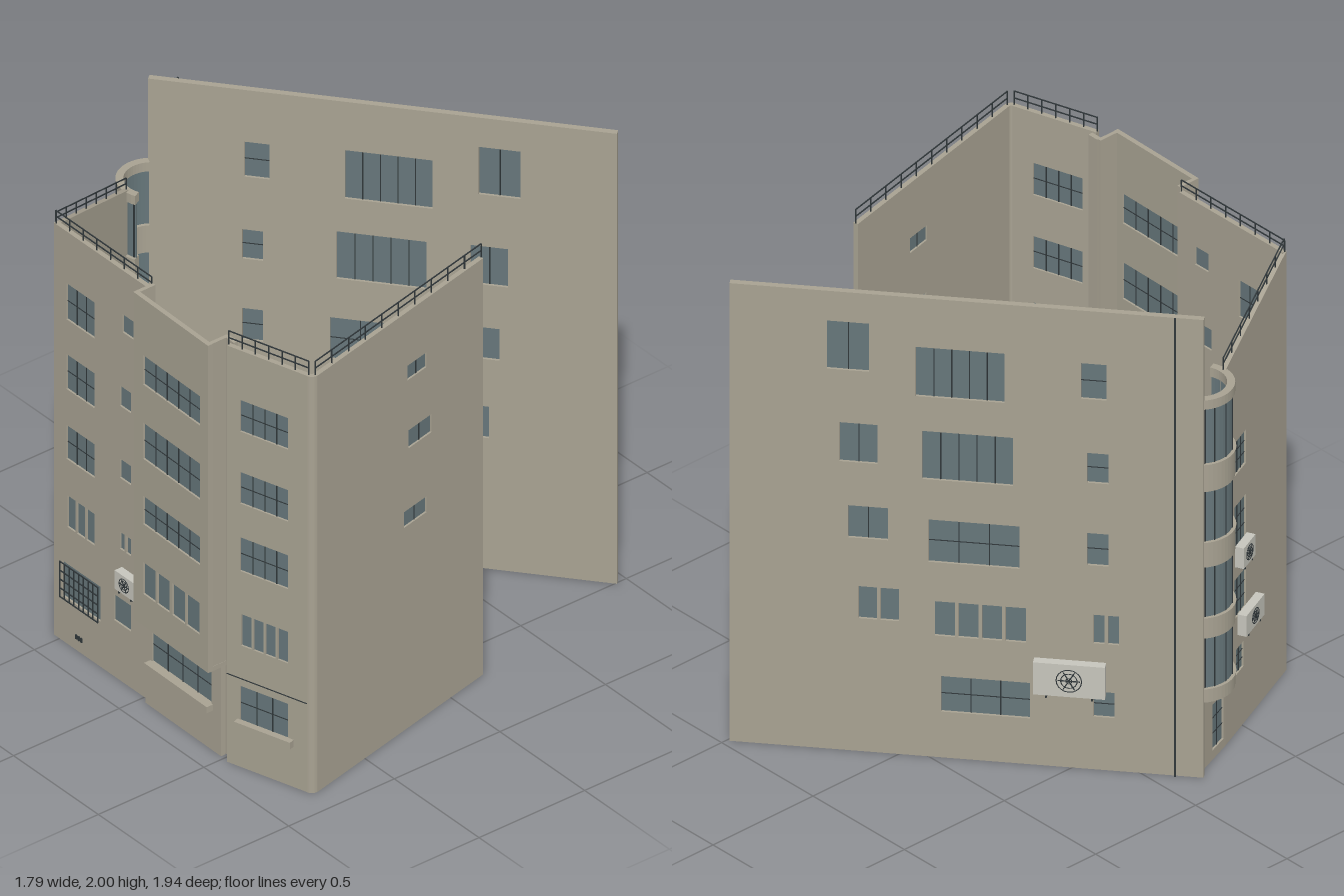
import * as THREE from 'three';

const mat = (name, color, side = THREE.FrontSide) => {
  const m = new THREE.MeshStandardMaterial({ color, side });
  m.name = name;
  return m;
};

export function createModel() {
  const plaster = mat('plaster', 0xa8a292);
  const glass = mat('window glass', 0x66767a);
  const dark = mat('dark metal', 0x30373a);
  const casing = mat('unit casing', 0xc6c5bc);
  const building = new THREE.Group();
  building.name = 'building';

  const add = (parent, name, geometry, material) => {
    const mesh = new THREE.Mesh(geometry, material);
    mesh.name = name;
    parent.add(mesh);
    return mesh;
  };
  const box = (parent, name, material, w, h, d, x, y, z) => {
    const mesh = add(parent, name, new THREE.BoxGeometry(w, h, d), material);
    mesh.position.set(x, y, z);
    return mesh;
  };

  // Upright slab from a plan outline of [x, z] points
  const slab = (name, pts, y0, y1, material = plaster) => {
    const shape = new THREE.Shape(pts.map(([x, z]) => new THREE.Vector2(x, -z)));
    const geo = new THREE.ExtrudeGeometry(shape, { depth: y1 - y0, bevelEnabled: false });
    geo.rotateX(-Math.PI / 2).translate(0, y0, 0);
    return add(building, name, geo, material);
  };
  const arc = (cx, cz, r, d0, d1, n) => Array.from({ length: n + 1 }, (_, i) => {
    const a = THREE.MathUtils.degToRad(d0 + (d1 - d0) * i / n);
    return [cx + r * Math.cos(a), cz + r * Math.sin(a)];
  });
  const ring = (cx, cz, r0, r1, d0, d1, n) =>
    [...arc(cx, cz, r1, d0, d1, n), ...arc(cx, cz, r0, d1, d0, n)];

  // Wall along a -> b (outer face, plan points) with glazed openings.
  // Openings are [from, to, bottom, top, columns, rows] on world axis "axis".
  const wall = (name, a, b, axis, y0, h0, h1, thick, openings) => {
    const g = new THREE.Group();
    g.name = name;
    g.position.set(a[0], 0, a[1]);
    const dx = b[0] - a[0], dz = b[1] - a[1], length = Math.hypot(dx, dz);
    g.rotation.y = Math.atan2(-dz, dx);
    building.add(g);
    const k = axis === 'x' ? 0 : 1;
    const at = v => (v - a[k]) / (b[k] - a[k]) * length;
    const shape = new THREE.Shape([[0, y0], [length, y0], [length, h1], [0, h0]]
      .map(p => new THREE.Vector2(...p)));
    for (const [p, q, lo, hi, cols = 1, rows = 1] of openings) {
      const u0 = Math.min(at(p), at(q)), u1 = Math.max(at(p), at(q));
      const w = u1 - u0, h = hi - lo, x = (u0 + u1) / 2, y = (lo + hi) / 2;
      shape.holes.push(new THREE.Path([[u0, lo], [u0, hi], [u1, hi], [u1, lo]]
        .map(c => new THREE.Vector2(...c))));
      box(g, 'windowGlass', glass, w, h, 0.004, x, y, -thick / 2);
      for (let i = 1; i < cols; i++)
        box(g, 'mullion', dark, 0.004, h, 0.01, u0 + w * i / cols, y, -thick / 2);
      for (let i = 1; i < rows; i++)
        box(g, 'transom', dark, w, 0.003, 0.009, x, lo + h * i / rows, -thick / 2);
    }
    const geo = new THREE.ExtrudeGeometry(shape, { depth: thick, bevelEnabled: false });
    add(g, name + 'Panel', geo.translate(0, 0, -thick), plaster);
    return { g, at, length, h0, h1 };
  };

  // Roof railing that follows the top of a wall
  const railing = ({ g, length, h0, h1 }, posts, height) => {
    for (let i = 0; i <= posts; i++) {
      const t = i / posts;
      box(g, 'railPost', dark, 0.004, height, 0.004, t * length, h0 + (h1 - h0) * t + height / 2, -0.01);
    }
    for (const f of [0.5, 1]) {
      const bar = box(g, 'railBar', dark, Math.hypot(length, h1 - h0), 0.004, 0.004,
        length / 2, (h0 + h1) / 2 + height * f, -0.01);
      bar.rotation.z = Math.atan2(h1 - h0, length);
    }
  };

  // Air conditioning unit with fan and brackets
  const cooler = ({ g, at }, p, q, lo, hi, depth = 0.035) => {
    const x = (at(p) + at(q)) / 2, w = Math.abs(at(q) - at(p)), h = hi - lo, y = (lo + hi) / 2;
    box(g, 'coolingUnit', casing, w, h, depth, x, y, depth / 2 + 0.002);
    for (const r of [0.34, 0.22, 0.08])
      add(g, 'fanRing', new THREE.TorusGeometry(h * r, 0.002, 4, 20), dark)
        .position.set(x, y, depth + 0.003);
    for (let i = 0; i < 3; i++)
      box(g, 'fanBlade', dark, h * 0.6, 0.004, 0.003, x, y, depth + 0.003).rotation.z = i * Math.PI / 3;
    for (const s of [-1, 1])
      box(g, 'unitBracket', dark, 0.006, 0.012, depth, x + s * w * 0.32, lo - 0.006, depth / 2);
  };
  const sill = ({ g, at }, p, q, lo, hi, depth) =>
    box(g, 'windowSill', plaster, Math.abs(at(q) - at(p)), hi - lo, depth,
      (at(p) + at(q)) / 2, (lo + hi) / 2, depth / 2);
  // Row of narrow panes with solid piers between
  const panes = (p, q, lo, hi, n, gap = 0.008) => Array.from({ length: n }, (_, i) => {
    const w = (q - p + gap) / n;
    return [p + w * i, p + w * (i + 1) - gap, lo, hi];
  });

  // Tall rear wall
  const rear = wall('rearWall', [0.49, -0.97], [-0.88, 0.15], 'z', 0, 2, 2, 0.025, [
    [-0.74, -0.64, 1.66, 1.87, 2], [-0.71, -0.62, 1.26, 1.43, 2],
    [-0.69, -0.595, 0.93, 1.07, 2], ...panes(-0.665, -0.57, 0.58, 0.72, 2),
    [-0.53, -0.32, 1.57, 1.785, 5], [-0.515, -0.30, 1.21, 1.42, 5],
    [-0.50, -0.285, 0.85, 1.035, 3, 2], ...panes(-0.485, -0.27, 0.53, 0.68, 4),
    [-0.47, -0.26, 0.2, 0.355, 3, 2],
    [-0.14, -0.08, 1.615, 1.77, 1, 2], [-0.125, -0.075, 1.25, 1.38, 1, 2],
    [-0.125, -0.075, 0.89, 1.03, 1, 2], ...panes(-0.11, -0.05, 0.55, 0.675, 2),
    [-0.11, -0.06, 0.23, 0.34, 1, 2],
  ]);
  cooler(rear, -0.25, -0.08, 0.33, 0.47);
  box(rear.g, 'drainPipe', dark, 0.008, 2, 0.008, rear.length * 0.94, 1, 0.005);

  // Right wall
  const right = wall('rightWall', [0.89, 0.775], [0.665, -0.19], 'z', 0, 1.85, 1.85, 0.02, [
    [0.14, 0.25, 1.545, 1.61, 2], [0.11, 0.245, 1.24, 1.32, 2], [0.14, 0.27, 0.9, 0.97, 2],
  ]);
  railing(right, 10, 0.06);

  // Front right wall and rounded corner
  const frontRight = wall('frontRightWall', [0.525, 0.91], [0.868, 0.806], 'x', 0, 1.85, 1.85, 0.02, [
    [0.58, 0.785, 1.49, 1.63, 4, 2], [0.58, 0.785, 1.17, 1.31, 4, 2], [0.58, 0.785, 0.87, 1.02, 4, 2],
    ...panes(0.585, 0.785, 0.54, 0.68, 4), [0.58, 0.785, 0.205, 0.36, 3, 2],
  ]);
  railing(frontRight, 6, 0.06);
  sill(frontRight, 0.57, 0.81, 0.18, 0.21, 0.025);
  box(frontRight.g, 'cable', dark, frontRight.length, 0.003, 0.003, frontRight.length / 2, 0.395, 0.003);
  slab('roundedCorner', ring(0.86, 0.778, 0.01, 0.03, -10, 75, 8), 0, 1.85);
  slab('recessStrip', [[0.478, 0.86], [0.528, 0.86], [0.528, 0.88], [0.478, 0.88]], 0, 1.85);

  // Projecting front bay over the ground floor
  wall('bayWall', [0.03, 0.957], [0.483, 0.967], 'x', 0.4, 1.85, 1.85, 0.02, [
    [0.09, 0.435, 1.47, 1.6, 5, 2], [0.09, 0.435, 1.14, 1.3, 5, 2], [0.09, 0.435, 0.85, 0.975, 5, 2],
    ...panes(0.09, 0.25, 0.54, 0.68, 2), ...panes(0.265, 0.43, 0.54, 0.68, 2),
  ]);
  slab('bayFloor', [[0.03, 0.87], [0.483, 0.87], [0.483, 0.966], [0.03, 0.956]], 0.395, 0.415);
  for (const x of [0.03, 0.466])
    slab('baySide', [[x, 0.865], [x + 0.016, 0.865], [x + 0.016, 0.95], [x, 0.95]], 0.4, 1.85);
  const shop = wall('groundFrontWall', [0.03, 0.9], [0.483, 0.905], 'x', 0, 0.4, 0.4, 0.02, [
    [0.07, 0.425, 0.205, 0.355, 4, 2],
  ]);
  sill(shop, 0.06, 0.435, 0.178, 0.205, 0.03);

  // Front left wall
  const front = wall('frontWall', [-0.535, 0.88], [0.03, 0.88], 'x', 0, 1.83, 1.83, 0.02, [
    [-0.46, -0.295, 1.44, 1.6, 3, 2], [-0.46, -0.295, 1.13, 1.285, 3, 2], [-0.46, -0.295, 0.82, 0.97, 3, 2],
    ...panes(-0.455, -0.295, 0.52, 0.66, 3), [-0.485, -0.26, 0.2, 0.355],
    [-0.13, -0.055, 1.555, 1.635], [-0.145, -0.08, 1.22, 1.31], [-0.145, -0.08, 0.9, 0.985],
    ...panes(-0.145, -0.08, 0.585, 0.66, 2), [-0.18, -0.08, 0.25, 0.365],
  ]);
  railing(front, 7, 0.05);
  cooler(front, -0.13, -0.02, 0.43, 0.512);
  for (let i = 0; i <= 8; i++)
    box(front.g, 'grilleBar', dark, 0.004, 0.16, 0.004, front.at(-0.485 + i * 0.028), 0.278, 0.012);
  for (let i = 0; i <= 4; i++)
    box(front.g, 'grilleRail', dark, 0.228, 0.004, 0.004, front.at(-0.373), 0.2 + i * 0.039, 0.012);
  for (let i = 0; i < 3; i++)
    box(front.g, 'vent', dark, 0.008, 0.02, 0.004, front.at(-0.4 + i * 0.015), 0.06, 0.002);

  // Left wall with sloping top
  const left = wall('leftWall', [-0.77, 0.36], [-0.535, 0.88], 'x', 0, 1.64, 1.83, 0.02, [
    [-0.735, -0.692, 1.125, 1.27, 3, 3], [-0.735, -0.692, 0.8, 0.99, 3, 3],
    [-0.735, -0.692, 0.5, 0.67, 3, 3], [-0.73, -0.70, 0.25, 0.36, 2, 3],
  ]);
  railing(left, 7, 0.05);
  cooler(left, -0.735, -0.69, 0.73, 0.82);
  cooler(left, -0.725, -0.655, 0.42, 0.51);

  // Rounded corner bay: floors of plaster bands and curved glazing
  const cx = -0.76, cz = 0.235;
  for (const [lo, hi] of [[0.32, 0.38], [0.6, 0.69], [0.91, 1.02], [1.24, 1.36], [1.6, 1.64]])
    slab('turretBand', ring(cx, cz, 0.105, 0.135, 66, 214, 20), lo, hi);
  for (const [lo, hi] of [[0.38, 0.6], [0.69, 0.91], [1.02, 1.24], [1.36, 1.6]]) {
    slab('turretGlass', ring(cx, cz, 0.118, 0.126, 66, 214, 20), lo, hi, glass);
    for (const d of [70, 95, 120, 145, 170, 195, 212]) {
      const [x, z] = arc(cx, cz, 0.126, d, d, 1)[0];
      box(building, 'turretMullion', dark, 0.005, hi - lo, 0.005, x, (lo + hi) / 2, z);
    }
    slab('turretLedge', ring(cx, cz, 0.12, 0.139, 66, 214, 20), lo - 0.006, lo);
  }
  slab('turretFloor', [...arc(cx, cz, 0.12, 66, 214, 16), [-0.8, 0.14], [-0.7, 0.33]], 0.32, 0.335);

  // Entrance wall beneath the rounded bay
  wall('entranceWall', [-0.845, 0.17], [-0.77, 0.36], 'x', 0, 0.33, 0.33, 0.02, [
    [-0.81, -0.776, 0.04, 0.24, 2, 3],
  ]);
  return building;
}
